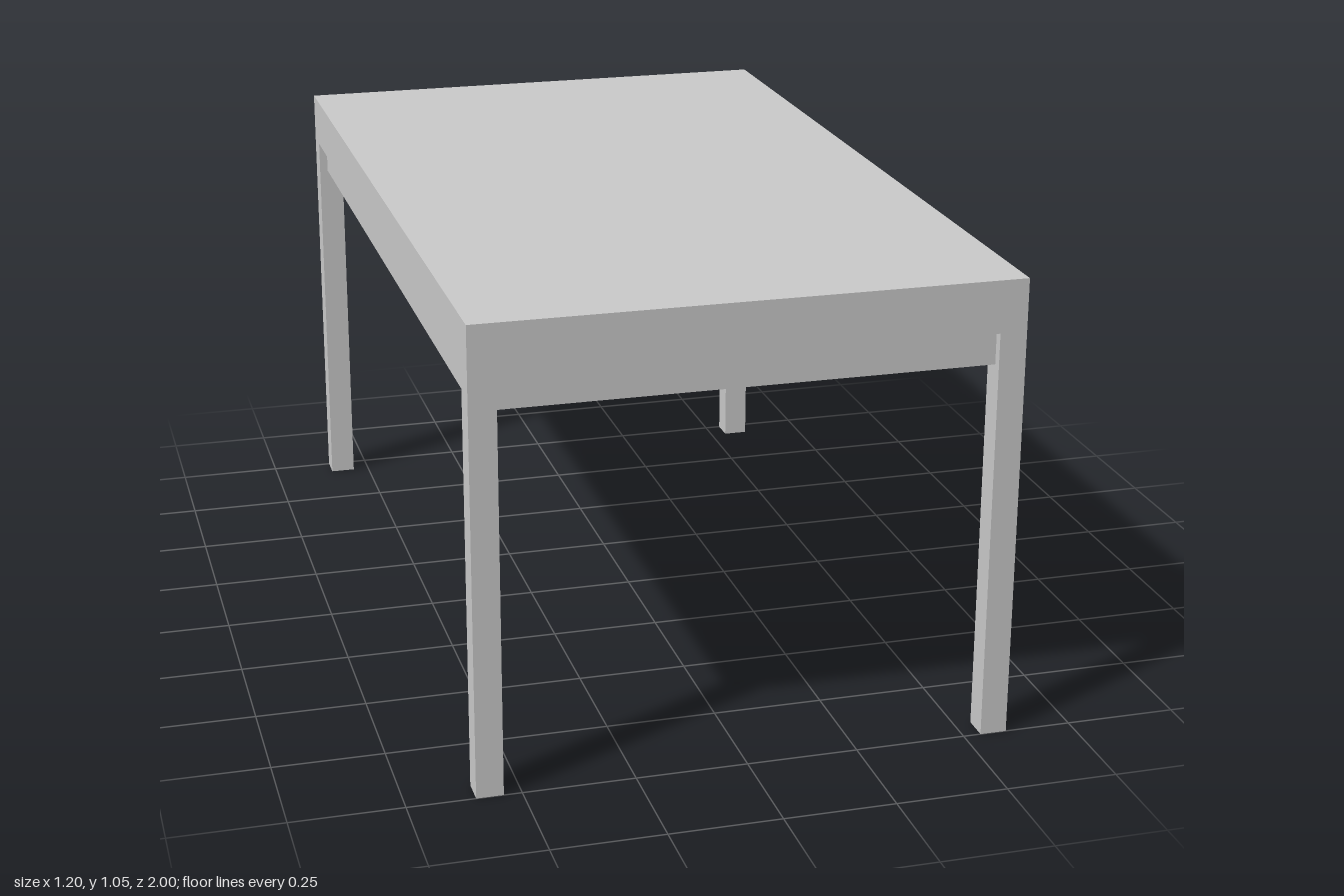
import * as THREE from 'three';

const W = 1.2, D = 2, LEG = 0.06;   // table width, depth, leg thickness
const TOP = 1.053, DECK = 1.0;      // upper and lower faces of the tabletop
const RAIL = 0.936, APRON = 0.861;  // undersides of the rail and the apron
const SETBACK = 0.02;               // apron recess behind the rail

const material = new THREE.MeshStandardMaterial({ color: 0xcccccc });

function addMesh(group, name, geometry) {
  const mesh = new THREE.Mesh(geometry, material);
  mesh.name = name;
  group.add(mesh);
  return mesh;
}

function rectangle(path, w, d) {
  path.moveTo(-w / 2, -d / 2);
  path.lineTo(w / 2, -d / 2);
  path.lineTo(w / 2, d / 2);
  path.lineTo(-w / 2, d / 2);
  path.closePath();
  return path;
}

// Rectangular ring, inset from the table edge, between two heights
function ring(inset, bottom, top) {
  const shape = rectangle(new THREE.Shape(), W - 2 * inset, D - 2 * inset);
  shape.holes.push(rectangle(new THREE.Path(), W - 2 * LEG, D - 2 * LEG));
  const geometry = new THREE.ExtrudeGeometry(shape, { depth: top - bottom, bevelEnabled: false });
  return geometry.rotateX(-Math.PI / 2).translate(0, bottom, 0);
}

export function createModel() {
  const table = new THREE.Group();
  table.name = 'table';

  // Tabletop slab
  addMesh(table, 'tabletop', new THREE.BoxGeometry(W, TOP - DECK, D))
    .position.y = (TOP + DECK) / 2;

  // Outer rail, flush with the legs, and the recessed apron below it
  addMesh(table, 'rail', ring(0, RAIL, DECK));
  addMesh(table, 'apron', ring(SETBACK, APRON, RAIL));

  // Four square corner legs
  for (const [endName, sz] of [['front', 1], ['back', -1]]) {
    for (const [sideName, sx] of [['Left', 1], ['Right', -1]]) {
      addMesh(table, `${endName}${sideName}Leg`, new THREE.BoxGeometry(LEG, RAIL, LEG))
        .position.set(sx * (W - LEG) / 2, RAIL / 2, sz * (D - LEG) / 2);
    }
  }
  return table;
}
